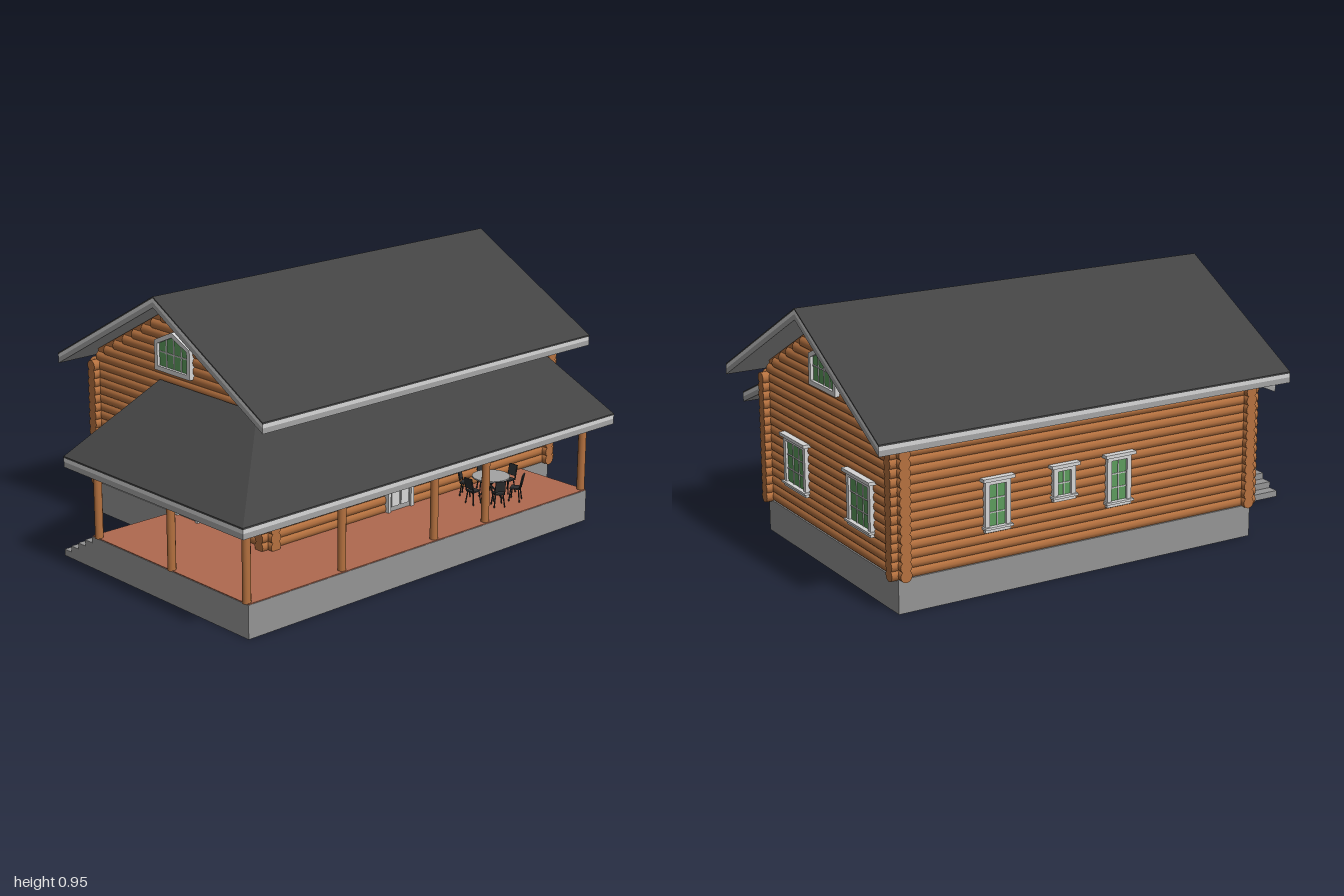
import * as THREE from 'three';
import { mergeGeometries } from 'three/addons/utils/BufferGeometryUtils.js';

const mat = (name, color, side = THREE.FrontSide) => {
  const m = new THREE.MeshStandardMaterial({ color, side });
  m.name = name;
  return m;
};

export function createModel() {
  const M = {
    log: mat('log timber', 0xb5713f),
    roof: mat('roof sheet', 0x434343),
    trim: mat('white trim', 0xd6d6d6),
    soffit: mat('soffit', 0xa4a4a4),
    concrete: mat('concrete', 0x949494),
    terrace: mat('terrace tile', 0xb0694f),
    floor: mat('timber floor', 0x8a6c40),
    glass: mat('green glass', 0x5c9c5c),
    dark: mat('dark metal', 0x2c2e30),
  };
  const house = new THREE.Group();
  house.name = 'logHouse';

  const add = (name, geos, material, parent = house) => {
    const mesh = new THREE.Mesh(Array.isArray(geos) ? mergeGeometries(geos) : geos, material);
    mesh.name = name;
    parent.add(mesh);
    return mesh;
  };
  // box from its min and max corners
  const box = (x0, y0, z0, x1, y1, z1) =>
    new THREE.BoxGeometry(x1 - x0, y1 - y0, z1 - z0).translate((x0 + x1) / 2, (y0 + y1) / 2, (z0 + z1) / 2);
  // round bar between two points
  const bar = (a, b, r, sides = 12) => {
    const p = new THREE.Vector3(...a), d = new THREE.Vector3(...b).sub(p), len = d.length();
    const q = new THREE.Quaternion().setFromUnitVectors(new THREE.Vector3(0, 1, 0), d.normalize());
    return new THREE.CylinderGeometry(r, r, len, sides).translate(0, len / 2, 0)
      .applyQuaternion(q).translate(p.x, p.y, p.z);
  };
  // sloping slab: polygon counterclockwise from above, between two vertical offsets
  const slab = (pts, top, bottom) => {
    const pos = [], n = pts.length;
    const v = (i, o) => pos.push(pts[i % n][0], pts[i % n][1] + o, pts[i % n][2]);
    for (let i = 1; i < n - 1; i++) {
      v(0, top); v(i, top); v(i + 1, top);
      v(0, bottom); v(i + 1, bottom); v(i, bottom);
    }
    for (let i = 0; i < n; i++) {
      v(i, top); v(i, bottom); v(i + 1, bottom);
      v(i, top); v(i + 1, bottom); v(i + 1, top);
    }
    const g = new THREE.BufferGeometry();
    g.setAttribute('position', new THREE.Float32BufferAttribute(pos, 3));
    g.computeVertexNormals();
    return g;
  };

  // Foundation: hollow skirt round the house and terrace
  const G = 0.12, t = 0.012;
  add('foundationSkirt', [
    box(-0.565, 0, -0.645, 0.885, G, -0.645 + t),
    box(0.885 - t, 0, -0.645, 0.885, G, 0.34),
    box(0.73, 0, 0.34 - t, 0.885, G, 0.34),
    box(0.73 - t, 0, 0.34 - t, 0.73, G, 0.67),
    box(-0.93, 0, 0.67 - t, 0.73, G, 0.67),
    box(-0.93, 0, -0.18, -0.93 + t, G, 0.67),
    box(-0.93, 0, -0.18, -0.565, G, -0.18 + t),
    box(-0.565, 0, -0.645, -0.565 + t, G, -0.18),
  ], M.concrete);
  const steps = [];
  for (let i = 0; i < 4; i++)
    steps.push(box(-0.93, i * 0.024, -0.35 + i * 0.0425, -0.565, (i + 1) * 0.024, -0.18));
  add('terraceSteps', steps, M.concrete);
  add('houseFloor', box(-0.553, 0.114, -0.633, 0.873, 0.122, 0.335), M.floor);
  add('terraceFloor', [
    box(-0.928, 0.114, 0.335, 0.728, 0.123, 0.668),
    box(-0.928, 0.114, -0.178, -0.553, 0.123, 0.335),
  ], M.terrace);

  // Log walls with crossing corner ends, rising into the gables
  const zMid = -0.15, pitch = 0.556, rowH = 0.032, r = 0.022;
  const logs = [], gables = [];
  for (let i = 0; i < 24; i++) {
    const y = G + rowH * (i + 0.5);
    if (i < 15) for (const z of [-0.625, 0.325]) logs.push(bar([-0.59, y, z], [0.91, y, z], r));
    const half = Math.min(i < 15 ? 0.515 : 0.475, (0.885 - y) / pitch);
    if (half > 0.02) for (const x of [-0.545, 0.865])
      gables.push(bar([x, y, zMid - half], [x, y, zMid + half], r));
  }
  add('longLogWalls', logs, M.log);
  add('gableLogWalls', gables, M.log);
  const tri = new THREE.Shape([[-0.475, 0.59], [0.475, 0.59], [0.475, 0.645], [0, 0.905], [-0.475, 0.645]]
    .map(p => new THREE.Vector2(...p)));
  for (const x of [-0.555, 0.855]) {
    const g = new THREE.ExtrudeGeometry(tri, { depth: 0.02, bevelEnabled: false });
    add('gableBacking', g.rotateY(Math.PI / 2).translate(x, 0, zMid), M.log);
  }

  // Main roof and lean-to terrace roof, each in three layers
  const ridge = 0.95, eave = ridge - 0.583 * pitch;
  const mainPlanes = [
    [[-0.66, eave, 0.433], [0.995, eave, 0.433], [0.995, ridge, zMid], [-0.66, ridge, zMid]],
    [[0.995, eave, -0.733], [-0.66, eave, -0.733], [-0.66, ridge, zMid], [0.995, ridge, zMid]],
  ];
  const py = 0.42, ph = 0.42 + 0.43 * 0.45;
  const porchPlanes = [
    [[-1, py, 0.73], [0.8, py, 0.73], [0.8, ph, 0.30], [-0.57, ph, 0.30]],
    [[-1, py, 0.73], [-0.57, ph, 0.30], [-0.57, ph, -0.235], [-1, py, -0.235]],
  ];
  for (const [name, planes] of [['mainRoof', mainPlanes], ['terraceRoof', porchPlanes]]) {
    const layer = (part, top, bottom, m) => add(name + part, planes.map(p => slab(p, top, bottom)), m);
    layer('Sheet', 0, -0.006, M.roof);
    layer('Trim', -0.006, -0.02, M.trim);
    layer('Soffit', -0.02, -0.04, M.soffit);
  }

  // Terrace posts and beams
  const posts = [-0.92, -0.5, -0.06, 0.2, 0.72].map(x => [x, 0.65]).concat([[-0.92, 0.26], [-0.92, -0.15]]);
  add('terracePosts', posts.map(([x, z]) => bar([x, G, z], [x, 0.39, z], 0.015)), M.log);
  add('terraceBeams', [
    bar([-0.95, 0.397, 0.65], [0.75, 0.397, 0.65], 0.017),
    bar([-0.92, 0.397, -0.18], [-0.92, 0.397, 0.67], 0.017),
    bar([0.72, 0.397, 0.33], [0.72, 0.397, 0.67], 0.017),
    bar([-0.94, 0.397, -0.15], [-0.55, 0.397, -0.15], 0.017),
  ], M.log);

  // Openings face +z locally, then turn to their wall
  const walls = {
    front: (u, y) => [[u, y, 0.345], 0],
    back: (u, y) => [[u, y, -0.645], Math.PI],
    right: (u, y) => [[0.885, y, u], Math.PI / 2],
    left: (u, y) => [[-0.565, y, u], -Math.PI / 2],
  };
  const opening = (name, wall, u, y) => {
    const g = new THREE.Group(), [p, a] = walls[wall](u, y);
    g.name = name;
    g.position.set(...p);
    g.rotation.y = a;
    house.add(g);
    return g;
  };
  const frame = (w, h, f) => [
    box(-w / 2, 0, -0.01, -w / 2 + f, h, 0.014), box(w / 2 - f, 0, -0.01, w / 2, h, 0.014),
    box(-w / 2, h - f, -0.01, w / 2, h, 0.014),
  ];
  const windowAt = (wall, u, y, w, h, cols, rows) => {
    const g = opening('window', wall, u, y), f = 0.018;
    const parts = frame(w, h, f);
    parts.push(box(-w / 2, 0, -0.01, w / 2, f, 0.014));
    parts.push(box(-w / 2 - 0.012, h - 0.004, -0.01, w / 2 + 0.012, h + 0.008, 0.024));
    parts.push(box(-w / 2 - 0.006, 0.012, -0.01, w / 2 + 0.006, 0.02, 0.022));
    for (let i = 1; i < cols; i++) {
      const x = -w / 2 + f + (w - 2 * f) * i / cols;
      parts.push(box(x - 0.002, f, 0, x + 0.002, h - f, 0.008));
    }
    for (let i = 1; i < rows; i++) {
      const yy = f + (h - 2 * f) * i / rows;
      parts.push(box(-w / 2 + f, yy - 0.002, 0, w / 2 - f, yy + 0.002, 0.008));
    }
    add('windowFrame', parts, M.trim, g);
    add('windowGlass', box(-w / 2 + f, f, -0.002, w / 2 - f, h - f, 0.005), M.glass, g);
  };
  for (const wall of ['right', 'left'])
    for (const z of [0.09, -0.395]) windowAt(wall, z, 0.22, 0.172, 0.19, 3, 3);
  for (const x of [-0.39, -0.245]) windowAt('front', x, 0.225, 0.146, 0.185, 3, 3);
  windowAt('front', 0.32, 0.295, 0.09, 0.115, 2, 2);
  windowAt('front', 0.51, 0.225, 0.095, 0.185, 2, 3);
  windowAt('back', 0.51, 0.225, 0.1, 0.185, 2, 3);
  windowAt('back', 0.245, 0.285, 0.09, 0.125, 2, 2);
  windowAt('back', 0.02, 0.225, 0.1, 0.185, 2, 3);

  // Pointed attic windows
  const house5 = (w, h, peak, base) => [[-w, base], [w, base], [w, h], [0, peak], [-w, h]].map(p => new THREE.Vector2(...p));
  for (const wall of ['right', 'left']) {
    const g = opening('atticWindow', wall, zMid, 0.65);
    const s = new THREE.Shape(house5(0.1, 0.11, 0.155, 0));
    s.holes.push(new THREE.Path(house5(0.083, 0.1, 0.136, 0.017).reverse()));
    add('atticFrame', new THREE.ExtrudeGeometry(s, { depth: 0.026, bevelEnabled: false }).translate(0, 0, -0.01), M.trim, g);
    add('atticGlass', new THREE.ExtrudeGeometry(new THREE.Shape(house5(0.084, 0.1, 0.137, 0.016)),
      { depth: 0.007, bevelEnabled: false }).translate(0, 0, -0.002), M.glass, g);
    add('atticBars', [
      ...[-0.042, 0, 0.042].map(x => box(x - 0.002, 0.017, 0, x + 0.002, 0.136 - Math.abs(x) * 0.44, 0.008)),
      box(-0.083, 0.068, 0, 0.083, 0.072, 0.008),
    ], M.trim, g);
  }

  // Panelled doors
  for (const [wall, u] of [['front', 0.065], ['left', -0.09]]) {
    const g = opening('door', wall, u, G), w = 0.13, h = 0.285;
    add('doorFrame', [...frame(w, h, 0.014), box(-w / 2 - 0.01, h - 0.004, -0.01, w / 2 + 0.01, h + 0.008, 0.022)], M.trim, g);
    add('doorLeaf', box(-w / 2 + 0.014, 0, -0.01, w / 2 - 0.014, h - 0.014, 0.005), M.soffit, g);
    const panels = [];
    for (const sx of [-1, 1]) for (const [y0, y1] of [[0.02, 0.1], [0.125, 0.255]])
      panels.push(box(sx * 0.024 - 0.019, y0, 0, sx * 0.024 + 0.019, y1, 0.009));
    add('doorPanels', panels, M.trim, g);
    add('doorHandle', box(-0.047, 0.105, 0, -0.042, 0.13, 0.016), M.dark, g);
  }

  // Round terrace table with six chairs
  const set = new THREE.Group();
  set.name = 'diningSet';
  set.position.set(0.4, 0.123, 0.49);
  house.add(set);
  add('tableTop', new THREE.CylinderGeometry(0.07, 0.07, 0.005, 28).translate(0, 0.083, 0), M.soffit, set);
  const legs = [];
  for (let i = 0; i < 6; i++) {
    const a = i * Math.PI / 3, c = Math.cos(a), s = Math.sin(a);
    legs.push(bar([0.045 * c, 0, 0.045 * s], [-0.03 * c, 0.082, -0.03 * s], 0.003, 6));
  }
  add('tableLegs', legs, M.dark, set);
  for (let i = 0; i < 6; i++) {
    const parts = [box(-0.019, 0.047, -0.018, 0.019, 0.052, 0.02)];
    for (const sx of [-1, 1]) {
      for (const sz of [-1, 1]) parts.push(bar([sx * 0.02, 0, sz * 0.02], [sx * 0.014, 0.05, sz * 0.014], 0.0025, 6));
      parts.push(bar([sx * 0.018, 0.05, 0.018], [sx * 0.018, 0.075, 0.024], 0.0025, 6));
    }
    parts.push(new THREE.BoxGeometry(0.038, 0.042, 0.005).rotateX(0.2).translate(0, 0.082, 0.025));
    const chair = add('chair', parts, M.dark, set);
    const a = (i + 0.5) * Math.PI / 3;
    chair.position.set(0.093 * Math.sin(a), 0, 0.093 * Math.cos(a));
    chair.rotation.y = a;
  }
  return house;
}
